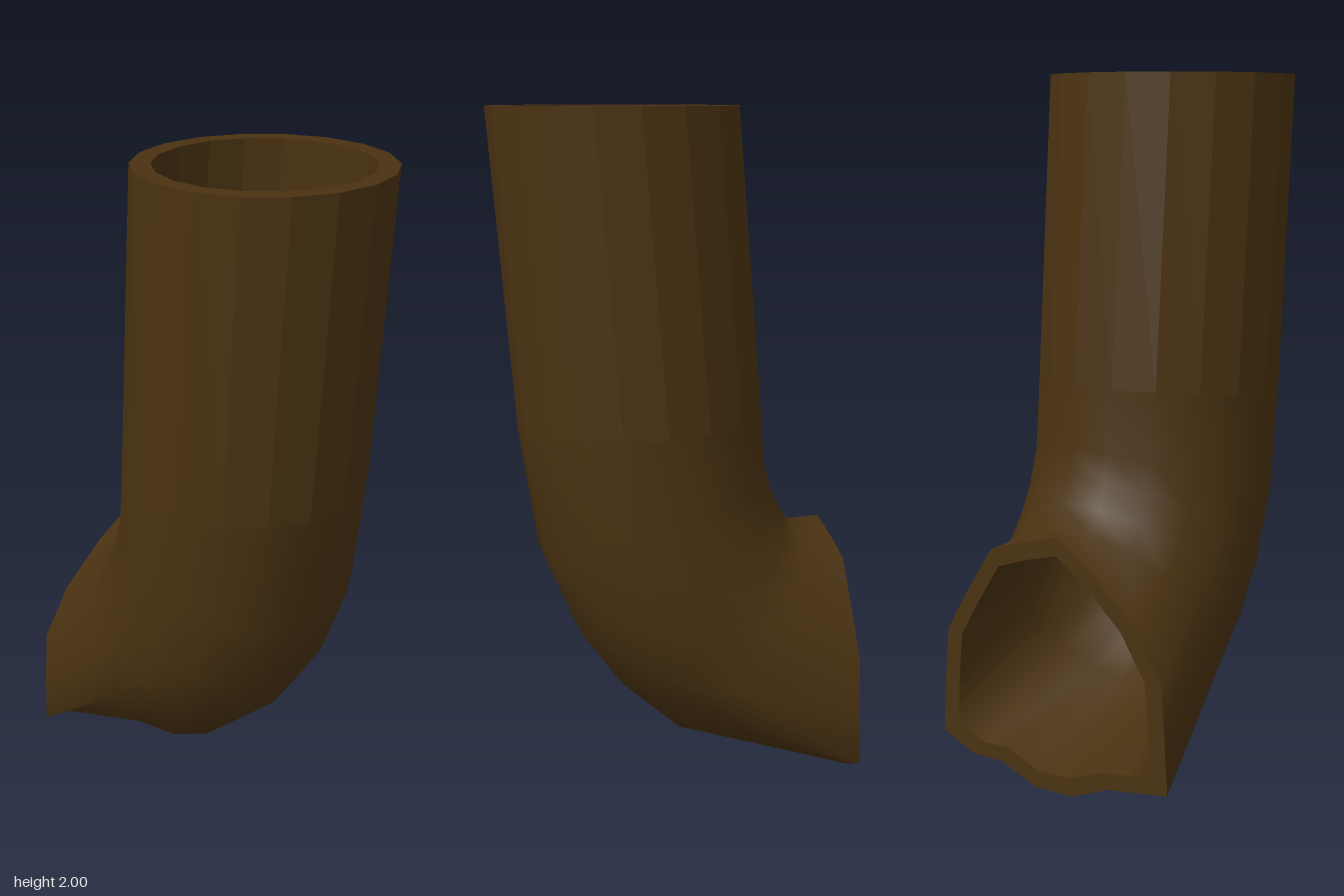
import * as THREE from 'three';

const SIDES = 18;

// Front/lower and back/upper edge of each cross-section, as [z, y], from the top down
const SECTIONS = [
  [[0.505, 2], [-0.205, 2]],
  [[0.43, 1.07], [-0.28, 1.13]],
  [[0.375, 0.71], [-0.293, 0.95]],
  [[0.265, 0.45], [-0.315, 0.87]],
  [[0.145, 0.285], [-0.35, 0.8]],
  [[-0.035, 0.125], [-0.395, 0.735]],
];

// Uneven outline of the mouth at the back, as [x, y], from the bottom round through +x
const MOUTH = [
  [0.055, 0], [0.175, 0.05], [0.28, 0.05], [0.385, 0.1], [0.375, 0.27], [0.36, 0.42],
  [0.29, 0.54], [0.2, 0.68], [0.085, 0.72], [-0.03, 0.75], [-0.14, 0.67], [-0.275, 0.54],
  [-0.365, 0.39], [-0.375, 0.25], [-0.385, 0.08], [-0.29, 0.065], [-0.19, 0.05], [-0.07, 0],
];

function sectionRing([[fz, fy], [bz, by]], scale) {
  const k = scale / (2 * Math.cos(Math.PI / SIDES));
  return Array.from({ length: SIDES }, (_, i) => {
    const a = ((i + 0.5) / SIDES) * Math.PI * 2;
    const c = Math.cos(a) * k;
    return [
      -0.005 + 0.36 * scale * Math.sin(a),
      (fy + by) / 2 + (fy - by) * c,
      (fz + bz) / 2 + (fz - bz) * c,
    ];
  });
}

const mouthRing = (scale) =>
  MOUTH.map(([x, y]) => [x * scale, 0.37 + (y - 0.37) * scale, -0.5]);

// Skin between consecutive closed rings
function loft(rings, flat, inward = false) {
  const index = [];
  for (let j = 0; j < rings.length - 1; j++) {
    for (let i = 0; i < SIDES; i++) {
      const n = (i + 1) % SIDES;
      const a = j * SIDES + i, b = a + SIDES;
      const d = j * SIDES + n, c = d + SIDES;
      if (inward) index.push(a, c, b, a, d, c);
      else index.push(a, b, c, a, c, d);
    }
  }
  let geo = new THREE.BufferGeometry();
  geo.setAttribute('position', new THREE.Float32BufferAttribute(rings.flat(2), 3));
  geo.setIndex(index);
  if (flat) geo = geo.toNonIndexed();
  geo.computeVertexNormals();
  return geo;
}

export function createModel() {
  const group = new THREE.Group();
  group.name = 'bentPipe';
  const brown = new THREE.MeshStandardMaterial({ color: 0x4a3211 });
  brown.name = 'darkBrown';

  const add = (name, geometry) => {
    const mesh = new THREE.Mesh(geometry, brown);
    mesh.name = name;
    group.add(mesh);
  };

  const outer = [...SECTIONS.map((s) => sectionRing(s, 1)), mouthRing(1)];
  const inner = [...SECTIONS.map((s) => sectionRing(s, 0.84)), mouthRing(0.86)];

  // Faceted upright length and smooth elbow, outside and inside
  add('uprightOuterWall', loft(outer.slice(0, 2), true));
  add('elbowOuterWall', loft(outer.slice(1), false));
  add('uprightInnerWall', loft(inner.slice(0, 2), true, true));
  add('elbowInnerWall', loft(inner.slice(1), false, true));

  // Rims closing the wall thickness at both ends
  add('topRim', loft([inner[0], outer[0]], true));
  add('mouthRim', loft([outer.at(-1), inner.at(-1)], true));

  return group;
}
